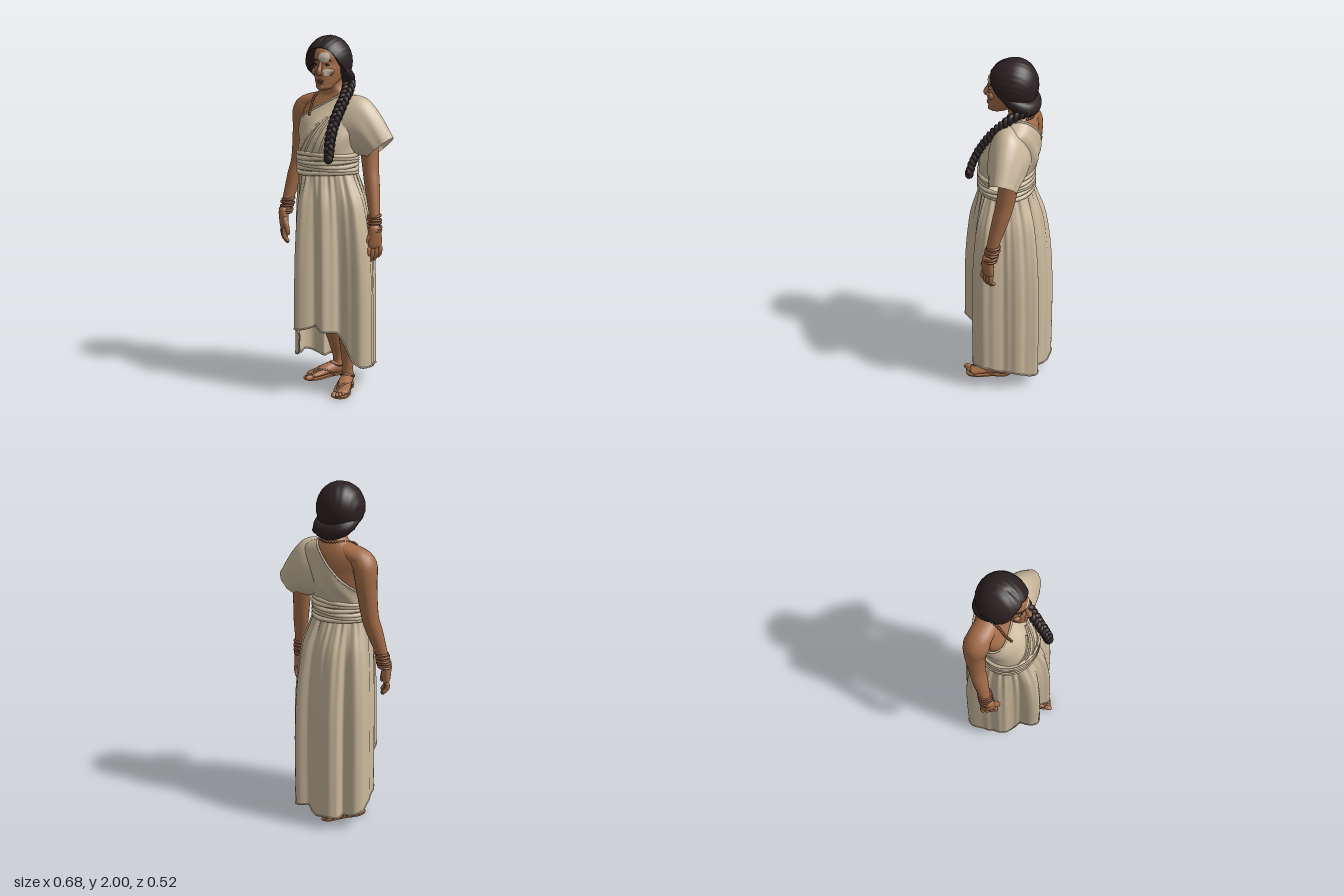
import * as THREE from 'three';

const mat = (name, color, side = THREE.FrontSide) => Object.assign(new THREE.MeshStandardMaterial({ color, side }), { name });
const V = (p) => new THREE.Vector3(p[0], p[1], p[2]);
const { sin, cos, abs, PI, min, max, exp, sqrt } = Math;
const smooth = THREE.MathUtils.smoothstep, lerp = THREE.MathUtils.lerp;

// smooth lookup in rows of [key, ...values]
function spline(rows) {
  const n = rows[0].length - 1;
  const s = new THREE.CubicInterpolant(rows.map((r) => r[0]), rows.flatMap((r) => r.slice(1)), n, new Array(n));
  return (t) => [...s.evaluate(t)];
}

// grid surface from fn(u, v) -> [x, y, z], optionally closed around u
function surface(fn, nu, nv, closed = true) {
  const pos = [], idx = [], w = closed ? nu : nu + 1;
  for (let j = 0; j <= nv; j++) for (let i = 0; i < w; i++) pos.push(...fn(i / nu, j / nv));
  for (let j = 0; j < nv; j++) for (let i = 0; i < nu; i++) {
    const k = (i + 1) % w, a = j * w + i, b = j * w + k;
    idx.push(a, b, b + w, a, b + w, a + w);
  }
  const g = new THREE.BufferGeometry();
  g.setAttribute('position', new THREE.Float32BufferAttribute(pos, 3));
  g.setIndex(idx);
  g.computeVertexNormals();
  return g;
}

// rounded limb through points [x, y, z, halfWidth, halfDepth]
function limb(pts, ref = [0, 0, 1], nu = 16, nv = 28, cap = 0.07, floor = -1) {
  const c = new THREE.CatmullRomCurve3(pts.map(V), false, 'catmullrom');
  const r = new THREE.CatmullRomCurve3(pts.map((p) => new THREE.Vector3(p[3], p[4] ?? p[3], 0)), false, 'catmullrom');
  return surface((u, v) => {
    const s = (1 - cos(v * PI)) / 2, p = c.getPoint(s), q = r.getPoint(s), t = c.getTangent(s);
    const e1 = t.clone().cross(V(ref)).normalize(), e2 = e1.clone().cross(t);
    const d = min(s, 1 - s) / cap, k = d < 1 ? sqrt(max(0, 1 - (1 - d) ** 2)) : 1, a = u * 2 * PI;
    p.addScaledVector(e1, sin(a) * q.x * k).addScaledVector(e2, cos(a) * q.y * k);
    return [p.x, max(floor, p.y), p.z];
  }, nu, nv);
}
const cord = (pts, r, closed = false, n = 40, sides = 8) =>
  new THREE.TubeGeometry(new THREE.CatmullRomCurve3(pts.map(V), closed), n, r, sides, closed);

export function createModel() {
  const model = new THREE.Group();
  const skin = mat('skin', 0xa36c48), cloth = mat('linen', 0xcbb99d, THREE.DoubleSide), hair = mat('hair', 0x2c2122, THREE.DoubleSide);
  const leather = mat('leather', 0x7b4a31), paint = mat('facePaint', 0xd2c6b4, THREE.DoubleSide);
  const lip = mat('lips', 0x84493a), dark = mat('eyeDark', 0x2a1c17), white = mat('eyeWhite', 0xb5a595);
  const add = (name, geo, m, parent = model) => {
    const mesh = new THREE.Mesh(geo, m);
    mesh.name = name;
    parent.add(mesh);
    return mesh;
  };
  const blob = (name, m, p, s, parent = model) => {
    const b = add(name, new THREE.SphereGeometry(1, 16, 12), m, parent);
    b.position.set(...p);
    b.scale.set(...s);
    return b;
  };

  // torso and neck: y, centre x, centre z, half width, half depth
  const torso = spline([[1.2, -.03, .01, .15, .13], [1.36, -.03, .01, .155, .138], [1.45, -.03, -.01, .163, .148],
    [1.53, -.03, -.033, .17, .13], [1.6, -.03, -.06, .18, .098], [1.65, -.03, -.07, .16, .075],
    [1.68, -.03, -.07, .1, .062], [1.71, -.03, -.06, .062, .058], [1.82, -.025, -.045, .056, .055]]);
  const body = (a, y, off = 0) => {
    const [cx, cz, rx, rz] = torso(y);
    return [cx + (rx + off) * sin(a), y, cz + (rz + off) * cos(a)];
  };
  add('torso', surface((u, v) => body(u * 2 * PI, 1.2 + .62 * v), 48, 44), skin);
  add('bareShoulder', limb([[-.05, 1.665, -.07, .04, .05], [-.13, 1.64, -.07, .044, .062], [-.21, 1.61, -.07, .05, .064], [-.25, 1.56, -.07, .035, .055]],
    [0, 0, 1], 20, 24, .12), skin);

  // one-shouldered bodice, cut along a slanting neckline
  const neckline = (a) => {
    const slope = .62 + .55 * smooth(-cos(a), -.2, .5);
    let y = 1.36;
    while (y < 1.7 && y < 1.672 + slope * (body(a, y)[0] - .03)) y += .003;
    return y;
  };
  const bodice = (a, v) => {
    const y = lerp(1.3, neckline(a), v);
    const p = body(a, y, .012);
    const ripple = .005 * sin(70 * (p[0] * .8 - (y - 1.3) * .45)) * sin(PI * v);
    return [p[0] + ripple * sin(a), y, p[2] + ripple * cos(a)];
  };
  add('bodice', surface((u, v) => bodice(u * 2 * PI, v), 96, 24), cloth);
  add('necklineHem', cord(Array.from({ length: 48 }, (_, i) => bodice(i / 48 * 2 * PI, 1)), .006, true, 140), cloth);
  for (let i = 0; i < 4; i++) {
    add('bodiceFold', cord([0, .25, .5, .75, 1].map((t) =>
      body(-.75 + i * .3 + t * (.75 - i * .12), 1.36 + t * (.17 + i * .03), .013)), .006, false, 24), cloth);
  }

  // draped sleeve: top x, top y, bottom x, bottom y, centre z, half depth
  const sleeve = spline([[0, .05, 1.675, .04, 1.35, -.035, .122], [.4, .17, 1.662, .12, 1.345, -.047, .113],
    [.7, .25, 1.585, .165, 1.34, -.05, .097], [1, .337, 1.45, .2, 1.335, -.053, .076]]);
  add('sleeve', surface((u, v) => {
    const [tx, ty, bx, by, cz, rz] = sleeve(v), a = u * 2 * PI, h = (1 + cos(a)) / 2;
    const k = (1.06 - .22 * h) * (1 + .03 * sin(a * 9 + 4 * v) * smooth(v, .1, 1));
    return [bx + (tx - bx) * h, by + (ty - by) * h, cz - rz * k * sin(a)];
  }, 72, 24), cloth);

  // wrapped belt
  for (let i = 0; i < 6; i++) {
    add('beltWrap', cord(Array.from({ length: 20 }, (_, k) => {
      const a = k / 20 * 2 * PI;
      return [-.03 + .168 * sin(a), 1.255 + i * .02 + .006 * sin(a * 2 + i * 1.7), .01 + .148 * cos(a)];
    }), .013, true, 72), cloth);
  }

  // skirt: deep uneven pleats (angle, radius), gathered into the waist, hem falling to the back
  const pleats = spline([[-22, .275], [-13, .245], [-3, .2], [5, .225], [13, .25], [22, .23], [38, .2], [50, .235], [62, .282],
    [75, .283], [88, .26], [103, .235], [120, .25], [136, .25], [150, .265], [160, .215], [172, .225], [186, .25], [200, .272], [212, .27],
    [221, .237], [230, .28], [240, .298], [254, .258], [270, .232], [288, .224], [304, .2], [316, .205], [328, .255], [338, .275], [347, .245]]);
  const spread = spline([[.05, 1], [.5, .98], [.8, .89], [1, .71], [1.1, .55], [1.2, .25], [1.28, 0]]);
  const hem = spline([[0, .395], [33, .365], [44, .3], [53, .215], [70, .17], [95, .145], [140, .09], [180, .075]]);
  const skirtPoint = (a, v) => {
    const deg = Math.atan2(sin(a), cos(a)) * 180 / PI, w0 = deg < -22 ? deg + 360 : deg;
    const low = hem(abs(deg))[0] + .008 * cos(9 * a), y = low + (1.28 - low) * v, w = spread(y)[0];
    const gather = (.005 * cos(23 * a + 1) + .003 * cos(37 * a)) * (1 - w * .7);
    const r = pleats(w0)[0] * w, k = 1 - w;
    return [r * sin(a) + k * (-.03 + .157 * sin(a)) + gather * sin(a), y, r * cos(a) + k * (.01 + .137 * cos(a)) + gather * cos(a)];
  };
  add('skirt', surface((u, v) => skirtPoint(u * 2 * PI, v), 240, 40), cloth);
  add('skirtHem', cord(Array.from({ length: 120 }, (_, i) => skirtPoint(i / 120 * 2 * PI, 0)), .005, true, 240, 6), cloth);

  // arms, hands and bracelets
  const arms = {
    right: [[-.16, 1.615, -.07, .05, .055], [-.218, 1.585, -.07, .064, .07], [-.235, 1.47, -.075, .056, .06], [-.25, 1.3, -.06, .046, .048],
      [-.268, 1.2, -.035, .043, .045], [-.293, 1.06, .005, .03, .033], [-.3, .98, .02, .025, .029]],
    left: [[.11, 1.6, -.07, .05], [.165, 1.55, -.07, .062], [.185, 1.42, -.07, .055], [.208, 1.27, -.05, .045, .049],
      [.227, 1.18, -.03, .042, .045], [.258, 1.03, .005, .03, .033], [.268, .93, .018, .025, .029]],
  };
  for (const [side, pts] of Object.entries(arms)) {
    const s = side === 'left' ? 1 : -1, hand = new THREE.Group(), end = pts[6];
    add(side + 'Arm', limb(pts, [0, 0, 1], 20, 40, .05), skin);
    hand.name = side + 'Hand';
    hand.position.set(end[0] + s * .006, end[1] + .015, end[2] + .01);
    hand.rotation.y = -s * .65;
    hand.scale.setScalar(1.1);
    add('palm', limb([[0, .03, 0, .024, .028], [0, -.03, .002, .025, .038], [-.003 * s, -.1, .004, .02, .044]], undefined, 16, 16, .2), skin, hand);
    for (let k = 0; k < 4; k++) {
      const z = .037 - .022 * k, len = [.07, .08, .076, .06][k];
      add('finger', limb([[0, -.08, z, .0125], [.003 * s, -.085 - len * .5, z + .003, .012],
        [-.022 * s, -.085 - len, z + .002, .009]], undefined, 10, 12, .12), skin, hand);
    }
    add('thumb', limb([[0, -.02, .022, .016], [-.008 * s, -.065, .05, .014], [-.018 * s, -.115, .056, .01]], undefined, 10, 12, .12), skin, hand);
    model.add(hand);
    for (let i = 0; i < 5; i++) {
      const b = add('bracelet', new THREE.TorusGeometry(.034 + .002 * (i % 2), .0075, 8, 28), leather), t = i / 4;
      b.position.set(end[0] - s * .012 * t, end[1] + .01 + .08 * t, end[2] - .016 * t);
      b.rotation.set(PI / 2 + .1 * sin(i * 2), .08 * cos(i * 3), 0);
    }
  }

  // legs, feet and sandal straps
  const legs = {
    left: { at: [.095, 0, 0], turn: .24, knee: [.085, .5, .04], calf: [.098, .3, .01] },
    right: { at: [-.04, 0, -.14], turn: -.58, knee: [-.05, .5, .0], calf: [-.036, .3, -.07] },
  };
  const soleShape = new THREE.Shape().moveTo(0, -.055).splineThru([[.033, -.02], [.036, .07], [.048, .15], [.032, .21], [-.02, .222],
    [-.048, .17], [-.036, .07], [-.033, -.02], [0, -.055]].map((p) => new THREE.Vector2(...p)));
  for (const [side, { at, turn, knee, calf }] of Object.entries(legs)) {
    const s = side === 'left' ? 1 : -1, foot = new THREE.Group();
    add(side + 'Leg', limb([[...knee, .055], [...calf, .051], [at[0], .12, at[2], .031, .036], [at[0], .04, at[2], .034, .038]], undefined, 18, 28), skin);
    foot.name = side + 'Foot';
    foot.position.set(...at);
    foot.rotation.y = turn;
    add('foot', limb([[0, .038, -.052, .03, .032], [0, .045, 0, .034, .042], [0, .042, .07, .039, .033],
      [0, .03, .14, .045, .021], [0, .024, .2, .042, .014]], [0, 1, 0], 20, 28, .1, .006), skin, foot);
    for (let k = 0; k < 5; k++) {
      const r = [.016, .0115, .011, .0105, .0095][k];
      blob('toe', skin, [s * (-.031 + .0165 * k), .02, .213 - .003 * k * k], [r, r, r * 1.7], foot);
    }
    const sole = new THREE.ExtrudeGeometry(soleShape, { depth: .01, bevelEnabled: false, curveSegments: 6 }).rotateX(PI / 2).translate(0, .01, 0);
    add('footSole', sole, skin, foot);
    for (const e of [-1, 1]) {
      add('toeStrap', cord([[-.02 * s, .03, .195], [e * .014 - .01 * s, .055, .14], [e * .036, .045, .09], [e * .041, .01, .05]], .006, false, 20), leather, foot);
    }
    add('ankleStrap', cord([[0, .078, .052], [.04, .06, .01], [0, .05, -.06], [-.04, .06, .01]], .005, true), leather, foot);
    model.add(foot);
  }

  // head: y, half width, front z, back z
  const skull = spline([[1.703, .004, .078, .06], [1.71, .03, .098, .03], [1.735, .05, .107, -.03], [1.77, .066, .108, -.09],
    [1.81, .077, .108, -.12], [1.85, .08, .1, -.13], [1.885, .08, .104, -.13], [1.925, .073, .085, -.12], [1.965, .05, .03, -.08]]);
  const face = (a, y, off = 0) => {
    const [rx, zf, zb] = skull(y), c = (zf + zb) / 2;
    return [-.025 + (rx + off) * sin(a), y, c + ((zf - zb) / 2 + off) * cos(a)];
  };
  add('head', surface((u, v) => face(u * 2 * PI, 1.703 + .262 * v), 48, 40), skin);
  add('nose', limb([[-.025, 1.872, .094, .009, .008], [-.025, 1.83, .108, .01, .012], [-.025, 1.805, .119, .014, .016], [-.025, 1.79, .108, .015, .012]], undefined, 14, 20, .12), skin);
  for (const s of [-1, 1]) {
    blob('nostril', skin, [-.025 + s * .013, 1.797, .11], [.009, .008, .011]);
    const x = -.025 + s * .034;
    blob('eye', white, [x, 1.842, .087], [.014, .006, .008]);
    blob('iris', dark, [x, 1.842, .092], [.006, .006, .004]);
    add('eyelid', cord([[x - .016, 1.84, .089], [x, 1.849, .096], [x + .016, 1.84, .087]], .002, false, 12, 6), dark);
    add('eyebrow', cord([.16, .45, .7].map((a, i) => face(s * a, 1.863 + [0, .007, 0][i], 0)), .003, false, 14, 6), dark);
    blob('cheek', skin, [-.025 + s * .044, 1.805, .075], [.024, .02, .02]);
  }
  blob('upperLip', lip, [-.025, 1.757, .107], [.022, .005, .008]);
  blob('lowerLip', lip, [-.025, 1.748, .106], [.019, .006, .008]);
  blob('chin', skin, [-.025, 1.721, .096], [.022, .016, .014]);

  // painted marks over the brow and cheek
  for (const [a0, a1, y0, y1, off] of [[-.1, .62, 1.858, 1.908, .0035], [.2, .8, 1.785, 1.822, .0055]]) {
    add('paintMark', surface((u, v) => {
      const w = sqrt(1 - (2 * v - 1) ** 2 * .8);
      return face((a0 + a1) / 2 + (u - .5) * (a1 - a0) * w, y0 + (y1 - y0) * v, off);
    }, 12, 10, false), paint);
  }
  blob('paintCheek', paint, [.021, 1.806, .0925], [.016, .015, .004]).rotation.y = .4;

  // swept hair with a centre parting
  const edge = spline([[0, 57], [30, 66], [60, 98], [85, 120], [120, 130], [180, 135]]);
  add('hairCap', surface((u, v) => {
    const a = u * 2 * PI, deg = abs(Math.atan2(sin(a), cos(a))) * 180 / PI;
    const t = max(.0001, edge(deg)[0] * PI / 180 * (1 - max(0, v - .04) / .96));
    const part = cos(a) > 0 ? .04 * exp(-((sin(a) * sin(t) / .08) ** 2)) * smooth(t, .1, .4) : 0;
    const k = (v < .03 ? .68 : 1) * (1 - part + .006 * sin(22 * t * sin(a) + 9 * t));
    return [-.04 + .128 * k * sin(t) * sin(a), 1.857 + .141 * (v < .03 ? 1 : k) * cos(t), -.035 + (cos(a) > 0 ? .15 : .124) * k * sin(t) * cos(a)];
  }, 72, 40), hair);
  add('hairRoll', limb([[-.12, 1.84, .015, .024], [-.128, 1.805, -.045, .034], [-.105, 1.77, -.11, .042], [-.035, 1.75, -.128, .046],
    [.03, 1.757, -.112, .042], [.056, 1.79, -.05, .034], [.05, 1.83, .01, .022]], [0, 1, 0], 16, 40, .06), hair);

  // three-strand braid over the left shoulder
  const path = new THREE.CatmullRomCurve3([[.03, 1.745, -.13], [.065, 1.72, -.06], [.076, 1.665, .005], [.07, 1.59, .075],
    [.064, 1.5, .135], [.067, 1.42, .172], [.07, 1.36, .19]].map(V));
  for (let k = 0; k < 3; k++) {
    add('braidStrand', cord(Array.from({ length: 100 }, (_, i) => {
      const t = i / 99, p = path.getPointAt(t), d = path.getTangentAt(t), w = 1.12 - .35 * t;
      const e1 = d.clone().cross(new THREE.Vector3(0, .55, .83)).normalize(), e2 = e1.clone().cross(d);
      const f = t * 11 * PI + k * 2 * PI / 3;
      return p.addScaledVector(e1, .021 * w * sin(f)).addScaledVector(e2, .011 * w * sin(2 * f)).toArray();
    }), .0145, false, 200, 8), hair);
  }
  add('braidTie', new THREE.TorusGeometry(.017, .008, 8, 20).rotateX(PI / 2).translate(.07, 1.362, .19), hair);
  blob('braidTassel', hair, [.07, 1.348, .192], [.026, .028, .024]);

  // beaded necklace, tucked under the neckline
  const chain = new THREE.CatmullRomCurve3([[.03, 1.698, -.12], [-.03, 1.695, -.137], [-.1, 1.693, -.08], [-.115, 1.665, .0], [-.118, 1.615, .035],
    [-.112, 1.57, .07]].map(V));
  add('necklaceCord', new THREE.TubeGeometry(chain, 60, .004, 6), leather);
  for (let i = 0; i <= 24; i++) {
    add('bead', new THREE.SphereGeometry(.008, 8, 6), leather).position.copy(chain.getPointAt(i / 24));
  }
  return model;
}
